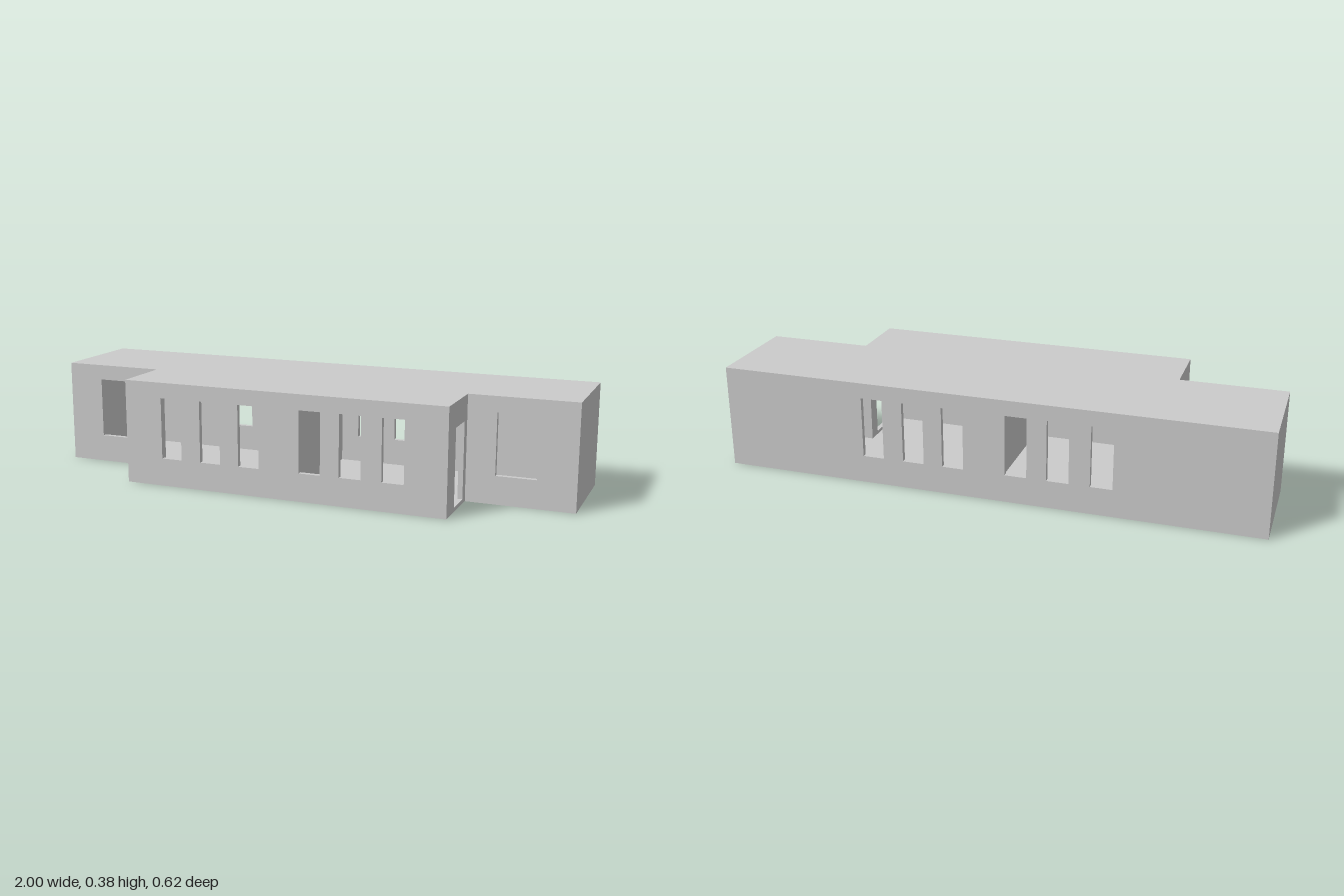
import * as THREE from 'three';

const T = 0.018;                 // wall thickness
const FLOOR = 0.004, ROOF = 0.003, H = 0.385;
const WING_X = 1, HALL_X = 0.612; // half widths
const BACK = -0.308, STEP = 0.077, FRONT = 0.308;

const mat = new THREE.MeshStandardMaterial({ color: 0xcccccc });

// Rectangle as a closed path, used for both outlines and openings
function rect(PathType, a0, a1, y0, y1) {
  const p = new PathType();
  p.moveTo(a0, y0);
  p.lineTo(a1, y0);
  p.lineTo(a1, y1);
  p.lineTo(a0, y1);
  p.closePath();
  return p;
}

// Upright wall panel from a0 to a1 with rectangular openings [a0, a1, y0, y1]
function panel(name, a0, a1, openings = []) {
  const shape = rect(THREE.Shape, a0, a1, FLOOR, H - ROOF);
  shape.holes = openings.map((o) => rect(THREE.Path, ...o));
  const mesh = new THREE.Mesh(
    new THREE.ExtrudeGeometry(shape, { depth: T, bevelEnabled: false }), mat);
  mesh.name = name;
  return mesh;
}

// Wall running along x, its outer or inner side starting at z
function wallX(name, x0, x1, z, openings) {
  const m = panel(name, x0, x1, openings);
  m.position.z = z;
  return m;
}

// Wall running along z, filling x - T to x
function wallZ(name, z0, z1, x, openings) {
  const m = panel(name, z0, z1, openings);
  m.rotation.y = -Math.PI / 2;
  m.position.x = x;
  return m;
}

// T-shaped horizontal slab between y and y + thickness
function slab(name, y, thickness) {
  const pts = [
    [-WING_X, BACK], [WING_X, BACK], [WING_X, STEP], [HALL_X, STEP],
    [HALL_X, FRONT], [-HALL_X, FRONT], [-HALL_X, STEP], [-WING_X, STEP],
  ].map(([x, z]) => new THREE.Vector2(x, -z));
  const geo = new THREE.ExtrudeGeometry(new THREE.Shape(pts),
    { depth: thickness, bevelEnabled: false });
  geo.rotateX(-Math.PI / 2);
  const mesh = new THREE.Mesh(geo, mat);
  mesh.name = name;
  mesh.position.y = y;
  return mesh;
}

export function createModel() {
  const group = new THREE.Group();
  group.name = 'building';

  // Two groups of three narrow windows, matching in front and back
  const windows = [-0.426, -0.27, -0.118, 0.116, 0.266, 0.421]
    .map((x) => [x - 0.04, x + 0.04, 0.103, 0.328]);
  const doorway = [0.11, 0.218, 0.016, 0.295];

  group.add(
    slab('floor', 0, FLOOR),
    slab('roof', H - ROOF, ROOF),
    wallX('backWall', -WING_X, WING_X, BACK, windows),
    wallX('frontWall', -HALL_X, HALL_X, FRONT - T, windows),
    // Partition between the two rooms
    wallZ('partition', BACK + T, FRONT - T, T / 2),
  );

  // End wall, wing front with wide window, and return wall with doorway
  for (const [side, s] of [['left', 1], ['right', -1]]) {
    const outer = (x) => (s > 0 ? x : -x + T);
    const inner = HALL_X - T;
    const span = (a, b) => (s > 0 ? [a, b] : [-b, -a]);
    group.add(
      wallZ(side + 'EndWall', BACK + T, STEP - T, outer(WING_X)),
      wallX(side + 'WingFront', ...span(inner, WING_X), STEP - T,
        [[...span(0.717, 0.863), 0.103, 0.328]]),
      wallZ(side + 'ReturnWall', STEP, FRONT - T, outer(HALL_X), [doorway]),
    );
  }
  return group;
}
